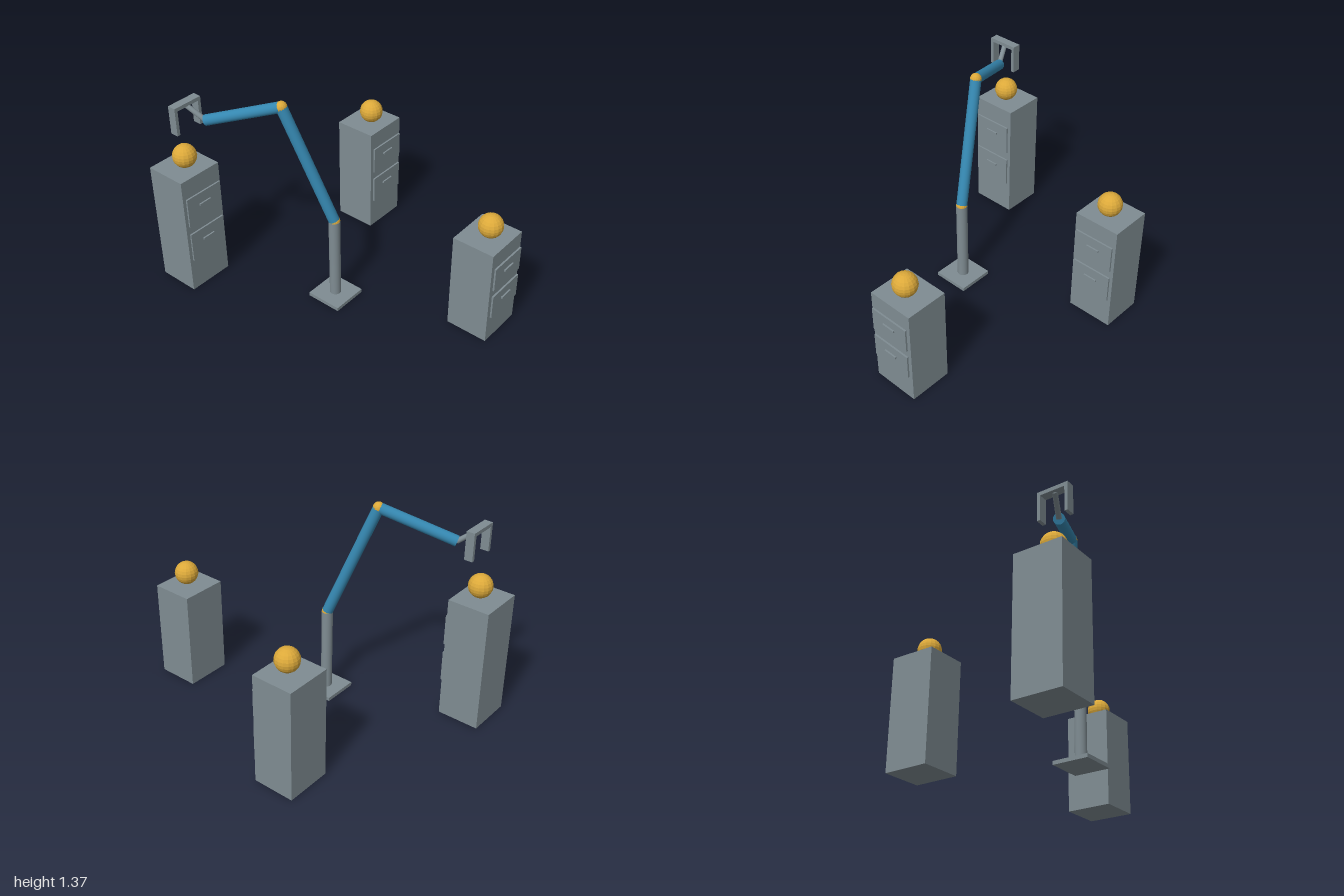
import * as THREE from 'three';

const material = (name, color, flatShading = false) => {
  const m = new THREE.MeshStandardMaterial({ color, flatShading });
  m.name = name;
  return m;
};

export function createModel() {
  const model = new THREE.Group();
  model.name = 'robotArmWithCabinets';
  const grey = material('steelGrey', 0x7f8c92);
  const blue = material('armBlue', 0x3587b0);
  const gold = material('gold', 0xdca93a, true);

  const add = (parent, name, geometry, mat, x, y, z) => {
    const mesh = new THREE.Mesh(geometry, mat);
    mesh.name = name;
    mesh.position.set(x, y, z);
    parent.add(mesh);
    return mesh;
  };
  const box = (parent, name, w, h, d, x, y, z) =>
    add(parent, name, new THREE.BoxGeometry(w, h, d), grey, x, y, z);
  const ball = (parent, name, r, x, y, z) =>
    add(parent, name, new THREE.SphereGeometry(r, 16, 12), gold, x, y, z);

  // Cylinder running between two points
  const rod = (parent, name, a, b, r, mat) => {
    const dir = b.clone().sub(a);
    const mid = a.clone().add(b).multiplyScalar(0.5);
    const mesh = add(parent, name, new THREE.CylinderGeometry(r, r, dir.length(), 24), mat, mid.x, mid.y, mid.z);
    mesh.quaternion.setFromUnitVectors(new THREE.Vector3(0, 1, 0), dir.normalize());
  };

  // Drawer cabinets, each with a ball on top: [x, z, height]
  const cabinets = [[-0.622, -0.847, 0.822], [0.167, 0.85, 0.65], [0.618, -0.397, 0.736]];
  for (const [x, z, h] of cabinets) {
    const cabinet = new THREE.Group();
    cabinet.name = 'cabinet';
    cabinet.position.set(x, 0, z);
    model.add(cabinet);
    box(cabinet, 'cabinetBody', 0.304, h, 0.275, 0, h / 2, -0.0155);
    for (const level of [0.408, 0.727]) {
      box(cabinet, 'drawerFront', 0.27, 0.246 * h, 0.011, 0, level * h, 0.1345);
      box(cabinet, 'drawerHandle', 0.089, 0.012, 0.012, 0, (level + 0.028) * h, 0.144);
    }
    ball(cabinet, 'ball', 0.076, 0, h + 0.076, 0);
  }

  // Pedestal
  const arm = new THREE.Group();
  arm.name = 'robotArm';
  model.add(arm);
  const shoulder = new THREE.Vector3(-0.228, 0.58, 0);
  const elbow = new THREE.Vector3(-0.356, 1.33, -0.272);
  const wrist = new THREE.Vector3(-0.555, 1.172, -0.7);
  const grip = new THREE.Vector3(-0.605, 1.262, -0.812);
  box(arm, 'basePlate', 0.235, 0.024, 0.235, -0.228, 0.012, 0);
  rod(arm, 'column', new THREE.Vector3(-0.228, 0.024, 0), shoulder, 0.036, grey);

  // Arm links and joints
  ball(arm, 'shoulderJoint', 0.036, ...shoulder);
  rod(arm, 'upperArm', shoulder, elbow, 0.035, blue);
  ball(arm, 'elbowJoint', 0.036, ...elbow);
  rod(arm, 'forearm', elbow, wrist, 0.034, blue);
  rod(arm, 'wristLink', wrist, grip, 0.016, grey);

  // Gripper
  box(arm, 'gripperBar', 0.2, 0.024, 0.055, -0.605, 1.269, -0.812);
  for (const side of [-1, 1])
    box(arm, 'gripperFinger', 0.021, 0.16, 0.055, -0.605 + side * 0.0895, 1.178, -0.812);

  return model;
}
